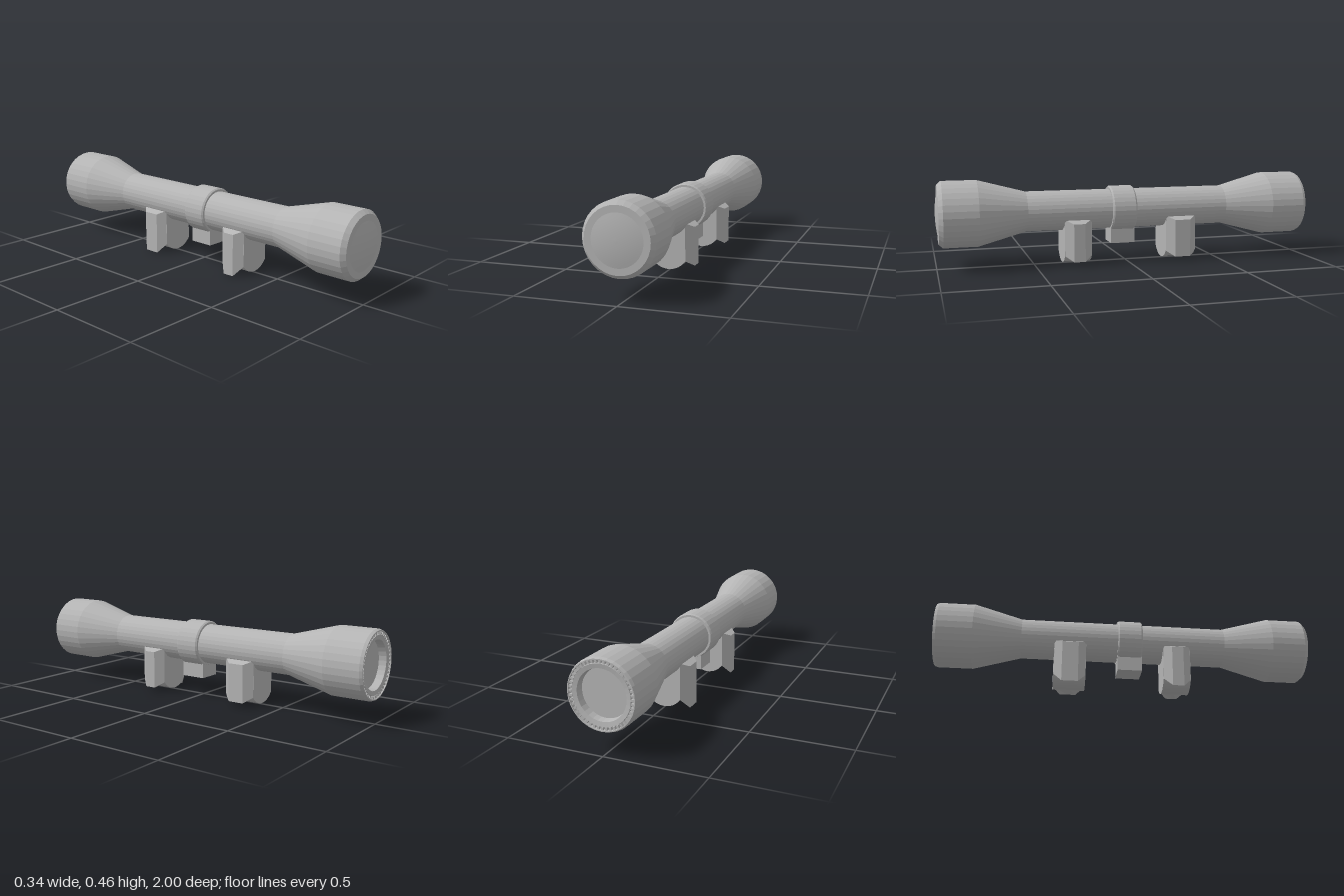
import * as THREE from 'three';

const AXIS_Y = 0.283; // height of the optical axis
const SIDES = 32;

// Gives every face its own normal for a faceted look
function faceted(geometry) {
  const flat = geometry.index ? geometry.toNonIndexed() : geometry;
  flat.computeVertexNormals();
  return flat;
}

// Turned solid along z; profile is [radius, z] from back to front
function turned(profile, sides = SIDES) {
  const points = profile.map(([r, z]) => new THREE.Vector2(r, z));
  return new THREE.LatheGeometry(points, sides).rotateX(Math.PI / 2).translate(0, AXIS_Y, 0);
}

// Side wing of a mount: a box tapering outward, with a slanted underside
function wingGeometry(side, length, flatLength, outerBottom) {
  const geometry = new THREE.BoxGeometry(1, 1, 1, 1, 1, 2);
  const p = geometry.attributes.position;
  for (let i = 0; i < p.count; i++) {
    const outer = p.getX(i) * side > 0;
    const top = p.getY(i) > 0;
    const z = p.getZ(i);
    const middle = Math.abs(z) < 0.1;
    if (outer) {
      p.setXYZ(i, side * 0.125, top ? 0.222 : outerBottom, z * flatLength);
    } else if (!top && middle) {
      p.setXYZ(i, side * 0.073, 0.035, 0);
    } else {
      p.setXYZ(i, side * 0.087, top ? 0.243 : 0.051, z * length);
    }
  }
  return faceted(geometry);
}

export function createModel() {
  const model = new THREE.Group();
  model.name = 'scope';
  const grey = new THREE.MeshStandardMaterial({ color: 0xb4b4b4 });
  grey.name = 'grey';

  const add = (name, geometry, parent = model) => {
    const mesh = new THREE.Mesh(geometry, grey);
    mesh.name = name;
    parent.add(mesh);
    return mesh;
  };

  // Body: recessed eyepiece at the back, two bells and a straight tube
  add('body', faceted(turned([
    [0, -0.955], [0.118, -0.955], [0.122, -0.992], [0.144, -0.996],
    [0.146, -0.982], [0.16, -0.982], [0.161, -1], [0.166, -1],
    [0.172, -0.985], [0.172, -0.8], [0.105, -0.55],
    [0.105, 0.54], [0.172, 0.79], [0.172, 0.966], [0.153, 0.988], [0, 0.988],
  ])));

  // Domed front lens
  const dome = [];
  for (let i = 0; i <= 6; i++) {
    const r = 0.121 * (1 - i / 6);
    dome.push([r, 0.988 + 0.012 * (1 - (r / 0.121) ** 2)]);
  }
  add('frontLens', turned(dome));

  // Ring of small teeth in the eyepiece groove
  const teeth = new THREE.Group();
  teeth.name = 'eyepieceTeeth';
  model.add(teeth);
  for (let i = 0; i < 48; i++) {
    const a = (i / 48) * Math.PI * 2;
    const tooth = add('tooth', new THREE.BoxGeometry(0.015, 0.01, 0.014), teeth);
    tooth.position.set(0.153 * Math.cos(a), AXIS_Y + 0.153 * Math.sin(a), -0.989);
    tooth.rotation.z = a;
  }

  // Centre collar with the block under it
  add('collar', faceted(turned([
    [0.104, -0.038], [0.116, -0.038], [0.122, -0.03],
    [0.122, 0.085], [0.116, 0.093], [0.104, 0.093],
  ])));
  add('collarBlock', new THREE.BoxGeometry(0.12, 0.1, 0.13).translate(0, 0.152, 0.028));

  // Mounts: a block with a rounded underside and a wing on each side
  const mounts = [
    { name: 'frontMount', z: 0.277, length: 0.145, flat: 0.06 },
    { name: 'backMount', z: -0.291, length: 0.168, flat: 0.085 },
  ];
  for (const { name, z, length, flat } of mounts) {
    const mount = new THREE.Group();
    mount.name = name;
    mount.position.z = z;
    model.add(mount);

    const shape = new THREE.Shape();
    const half = Math.asin(0.088 / 0.106);
    shape.moveTo(0.088, 0.243);
    shape.lineTo(-0.088, 0.243);
    shape.absarc(0, 0.111, 0.106, -Math.PI / 2 - half, -Math.PI / 2 + half, false);
    const block = new THREE.ExtrudeGeometry(shape, { depth: length, bevelEnabled: false, curveSegments: 12 });
    add('mountBlock', block.translate(0, 0, -length / 2), mount);
    add('leftWing', wingGeometry(1, length, flat, 0.022), mount);
    add('rightWing', wingGeometry(-1, length, flat, 0), mount);
  }

  return model;
}
